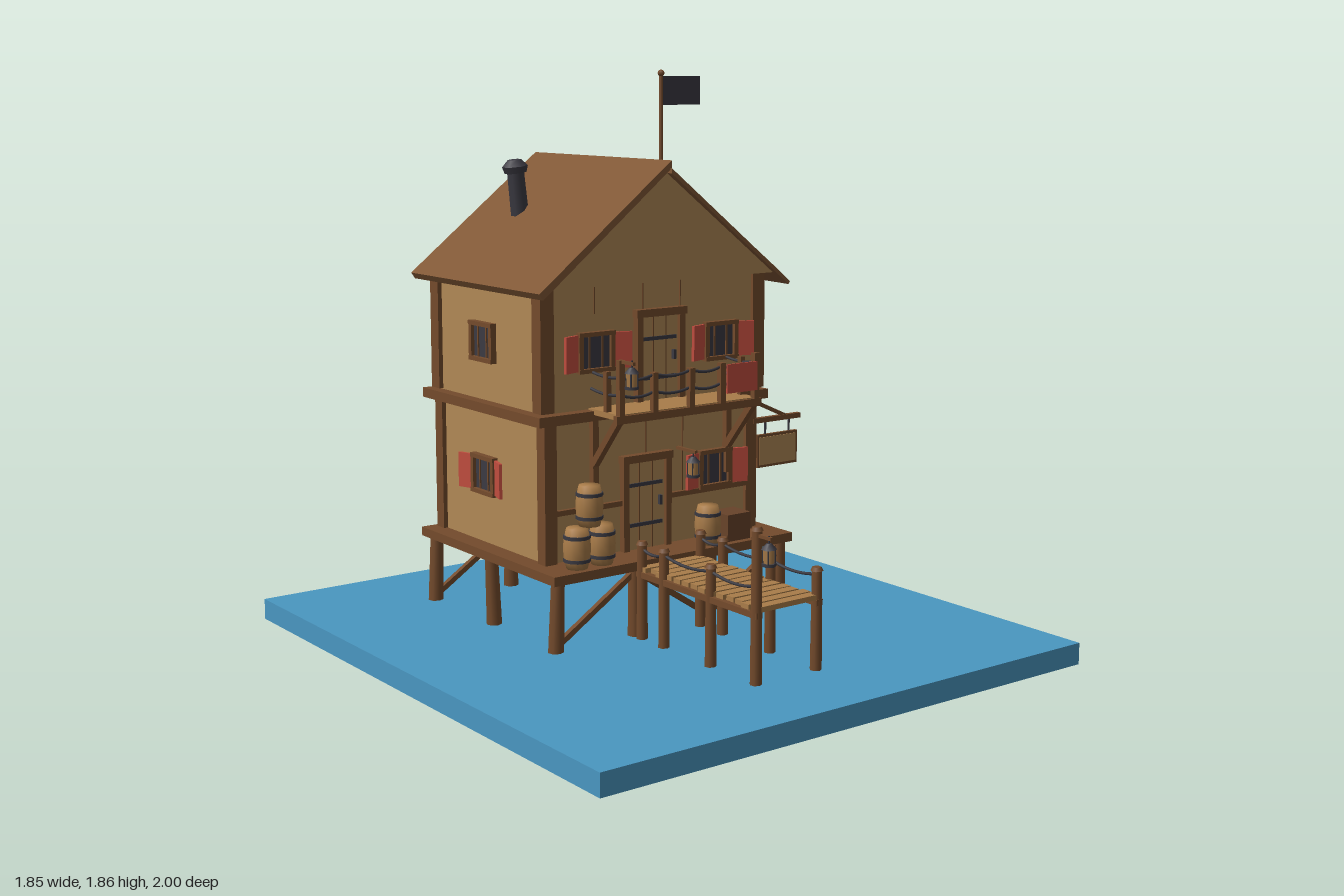
import * as THREE from 'three';

const mat = (name, color) => Object.assign(new THREE.MeshStandardMaterial({ color }), { name });
const water = mat('water', 0x4a97c1), wall = mat('wallPlaster', 0xb08855), timber = mat('timber', 0x744b2c),
  roofMat = mat('roofBoards', 0x805735), plank = mat('paleWood', 0xa97c49), iron = mat('iron', 0x3b3a42),
  red = mat('redPaint', 0xc24d3f), crateMat = mat('crateWood', 0x68432a);
const V = (x, y, z) => new THREE.Vector3(x, y, z);
const noise = (i) => { const s = Math.sin(i * 12.9898) * 43758.5453; return (s - Math.floor(s)) * 2 - 1; };

export function createModel() {
  const model = new THREE.Group();
  model.name = 'stiltHouse';

  const add = (parent, name, geo, m, x = 0, y = 0, z = 0) => {
    const mesh = new THREE.Mesh(geo, m);
    mesh.name = name;
    mesh.position.set(x, y, z);
    parent.add(mesh);
    return mesh;
  };
  // box given by its two opposite corners
  const box = (p, name, m, x0, x1, y0, y1, z0, z1) =>
    add(p, name, new THREE.BoxGeometry(x1 - x0, y1 - y0, z1 - z0), m, (x0 + x1) / 2, (y0 + y1) / 2, (z0 + z1) / 2);
  const cyl = (p, name, m, r0, r1, h, x, y, z, n = 8) =>
    add(p, name, new THREE.CylinderGeometry(r1, r0, h, n).toNonIndexed(), m, x, y + h / 2, z);
  // square bar between two points
  const bar = (p, name, m, a, b, w, d = w) => {
    const dir = b.clone().sub(a), mesh = add(p, name, new THREE.BoxGeometry(w, dir.length(), d), m);
    mesh.position.copy(a).add(b).multiplyScalar(0.5);
    mesh.quaternion.setFromUnitVectors(V(0, 1, 0), dir.normalize());
    return mesh;
  };
  const rope = (p, a, b, sag) => {
    const mid = a.clone().add(b).multiplyScalar(0.5);
    mid.y -= sag * 2;
    add(p, 'rope', new THREE.TubeGeometry(new THREE.QuadraticBezierCurve3(a, mid, b), 8, 0.005, 5), iron);
  };
  const group = (name, x = 0, y = 0, z = 0, ry = 0, parent = model) => {
    const g = new THREE.Group();
    g.name = name;
    g.position.set(x, y, z);
    g.rotation.y = ry;
    parent.add(g);
    return g;
  };

  box(model, 'water', water, -0.925, 0.925, 0, 0.07, -1, 1);

  // stilts, braces and deck
  const base = group('foundation');
  const xs = [-0.45, -0.15, 0.145, 0.45];
  xs.forEach((x, i) => [0.09, -0.285, -0.65].forEach((z, j) => {
    if (j === 1 && (i === 1 || i === 2)) return;
    const post = cyl(base, 'stilt', timber, 0.026, 0.022, 0.24, x, 0.06, z, 7);
    post.rotation.z = noise(i * 3 + j) * 0.04;
  }));
  [0.09, -0.65].forEach((z) => {
    for (let i = 0; i < 3; i++) {
      const lo = i === 1 ? 0.275 : 0.095;
      bar(base, 'brace', timber, V(xs[i] + 0.01, lo, z), V(xs[i + 1] - 0.01, 0.37 - lo, z), 0.018);
    }
  });
  box(base, 'deck', timber, -0.48, 0.48, 0.29, 0.32, -0.69, 0.125);

  // two storeys, the upper one slightly offset
  const house = group('house');
  box(house, 'lowerWalls', wall, -0.415, 0.41, 0.32, 0.78, -0.655, -0.015);
  box(house, 'upperWalls', wall, -0.415, 0.455, 0.79, 1.2, -0.68, -0.03);
  const corners = (name, x0, x1, y0, y1, z0, z1, w) => {
    for (const x of [x0, x1 - w]) for (const z of [z0, z1 - w])
      box(house, name, timber, x, x + w, y0, y1, z, z + w);
  };
  corners('lowerCornerPost', -0.43, 0.425, 0.32, 0.775, -0.672, 0, 0.045);
  corners('upperCornerPost', -0.43, 0.47, 0.8, 1.2, -0.692, -0.018, 0.05);
  box(house, 'floorBeam', timber, -0.455, 0.465, 0.765, 0.797, -0.71, 0.01);
  box(house, 'wallRail', timber, -0.41, -0.13, 0.473, 0.49, -0.02, 0);
  box(house, 'wallRail', timber, 0.06, 0.41, 0.473, 0.49, -0.02, 0);
  for (const x of [-0.22, -0.03, 0.12]) {
    box(house, 'lowerSeam', timber, x - 0.002, x + 0.002, x === -0.03 ? 0.63 : 0.49, 0.77, -0.016, -0.012);
    box(house, 'upperSeam', timber, x - 0.002, x + 0.002, 1.1, 1.2, -0.031, -0.027);
  }

  // roof
  const extrude = (pts, depth) => new THREE.ExtrudeGeometry(
    new THREE.Shape(pts.map(([x, y]) => new THREE.Vector2(x, y))), { depth, bevelEnabled: false });
  const roof = group('roof');
  add(roof, 'gable', extrude([[-0.45, 1.195], [0.49, 1.195], [0.02, 1.56]], 0.74), wall, 0, 0, -0.7);
  add(roof, 'leftRoofPanel', extrude([[-0.468, 1.168], [0.02, 1.553], [0.02, 1.578], [-0.482, 1.188]], 0.785),
    roofMat, 0, 0, -0.727);
  const rp = add(roof, 'rightRoofPanel', extrude([[0.51, 1.172], [0.516, 1.182], [0.015, 1.573], [0.015, 1.556]], 0.787),
    roofMat, 0, 0, -0.727);
  rp.rotation.x = 0.016;
  rp.position.y -= 0.006;
  rp.position.z -= 0.02;

  const chimney = group('chimney', -0.205, 1.36, -0.475);
  chimney.rotation.z = 0.11;
  cyl(chimney, 'chimneyPipe', iron, 0.03, 0.028, 0.18, 0, 0, 0, 6);
  cyl(chimney, 'chimneyCap', iron, 0.036, 0.043, 0.022, 0, 0.165, 0, 6);
  cyl(chimney, 'chimneyTop', iron, 0.043, 0.022, 0.022, 0, 0.187, 0, 6);

  const flag = group('flag', 0.025, 1.54, -0.005);
  cyl(flag, 'flagPole', timber, 0.007, 0.006, 0.31, 0, 0, 0, 6);
  add(flag, 'flagKnob', new THREE.SphereGeometry(0.011, 8, 6), timber, 0, 0.31, 0);
  const cloth = box(flag, 'flagCloth', iron, 0.008, 0.15, 0.21, 0.3, -0.003, 0.003);
  cloth.rotation.y = -0.08;

  // windows: local +z points out of the wall
  const windowAt = (x, y, z, ry, shutters) => {
    const g = group('window', x, y, z, ry);
    box(g, 'windowPane', iron, -0.06, 0.06, -0.055, 0.055, -0.01, 0.008);
    for (const s of [-1, 1]) {
      box(g, 'windowJamb', timber, s * 0.061 - 0.008, s * 0.061 + 0.008, -0.062, 0.062, -0.01, 0.02);
      box(g, 'windowRail', timber, -0.069, 0.069, s * 0.058 - 0.007, s * 0.058 + 0.007, -0.01, 0.022);
      box(g, 'windowBar', timber, s * 0.025 - 0.003, s * 0.025 + 0.003, -0.052, 0.052, 0, 0.012);
      if (!shutters) continue;
      const hinge = group('shutter', s * 0.068, 0, 0.008, -s * 0.3, g);
      box(hinge, 'shutterBoard', red, s * 0.032 - 0.031, s * 0.032 + 0.031, -0.058, 0.058, -0.005, 0.005);
    }
  };
  windowAt(0.248, 0.55, -0.015, 0, true);
  windowAt(-0.22, 0.98, -0.03, 0, true);
  windowAt(0.283, 0.975, -0.03, 0, true);
  windowAt(0.41, 0.552, -0.32, Math.PI / 2, true);
  windowAt(0.455, 0.97, -0.357, Math.PI / 2, false);
  windowAt(-0.415, 0.55, -0.37, -Math.PI / 2, true);
  windowAt(-0.415, 0.99, -0.37, -Math.PI / 2, false);
  windowAt(0, 0.55, -0.655, Math.PI, false);

  // doors
  const doorAt = (x, y, z, h) => {
    const g = group('door', x, y, z);
    box(g, 'doorPanel', wall, -0.08, 0.08, 0, h - 0.02, -0.005, 0.008);
    for (const s of [-1, 1]) {
      box(g, 'doorJamb', timber, s * 0.085 - 0.011, s * 0.085 + 0.011, 0, h, -0.01, 0.022);
      box(g, 'doorSeam', timber, s * 0.026 - 0.002, s * 0.026 + 0.002, 0, h - 0.02, 0.006, 0.01);
    }
    box(g, 'doorLintel', timber, -0.1, 0.1, h - 0.025, h, -0.01, 0.026);
    for (const k of [0.26, 0.68]) box(g, 'doorStrap', iron, -0.075, 0.065, h * k - 0.006, h * k + 0.006, 0.006, 0.013);
    box(g, 'doorHandle', iron, 0.05, 0.06, h * 0.44, h * 0.54, 0.006, 0.02);
  };
  doorAt(-0.037, 0.32, -0.013, 0.315);
  doorAt(0.03, 0.797, -0.028, 0.305);

  // lantern hung from its top point
  const lantern = (x, y, z) => {
    const g = group('lantern', x, y, z);
    cyl(g, 'lanternHook', iron, 0.003, 0.003, 0.03, 0, -0.03, 0, 5);
    cyl(g, 'lanternCap', iron, 0.024, 0.008, 0.018, 0, -0.04, 0, 6);
    cyl(g, 'lanternGlass', plank, 0.016, 0.018, 0.042, 0, -0.082, 0, 6);
    cyl(g, 'lanternBase', iron, 0.022, 0.022, 0.009, 0, -0.09, 0, 6);
    for (let i = 0; i < 4; i++) {
      const a = i * Math.PI / 2 + 0.78;
      cyl(g, 'lanternBar', iron, 0.003, 0.003, 0.045, Math.cos(a) * 0.018, -0.084, Math.sin(a) * 0.018, 4);
    }
  };

  // balcony
  const balcony = group('balcony');
  box(balcony, 'balconyFloor', plank, -0.25, 0.31, 0.785, 0.803, -0.02, 0.14);
  box(balcony, 'balconyEdge', timber, -0.26, 0.32, 0.775, 0.8, 0.13, 0.15);
  const bx = [-0.24, -0.11, 0.035, 0.16, 0.3], bh = [0.975, 0.925, 0.925, 0.93, 0.95];
  bx.forEach((x, i) => {
    box(balcony, 'balconyPost', timber, x - 0.01, x + 0.01, 0.78, bh[i], 0.13, 0.15);
    if (i) for (const y of [0.92, 0.865]) rope(balcony, V(bx[i - 1], y, 0.14), V(x, y, 0.14), 0.012);
  });
  for (const x of [-0.24, 0.3]) {
    box(balcony, 'balconyPost', timber, x - 0.009, x + 0.009, 0.8, 0.93, 0.06, 0.078);
    for (const y of [0.92, 0.865]) rope(balcony, V(x, y, 0.14), V(x, y, -0.02), 0.008);
    bar(balcony, 'balconyBrace', timber, V(x, 0.78, 0.13), V(x, 0.625, 0), 0.022);
    box(balcony, 'braceFoot', timber, x - 0.011, x + 0.011, 0.53, 0.77, -0.02, 0.006);
  }
  box(balcony, 'hangingCloth', red, 0.17, 0.295, 0.83, 0.925, 0.152, 0.158);
  bar(balcony, 'lanternArm', timber, V(-0.24, 0.97, 0.13), V(-0.235, 0.97, 0.205), 0.01);
  lantern(-0.235, 0.98, 0.193);
  bar(model, 'lanternArm', timber, V(0.1, 0.635, -0.02), V(0.1, 0.635, 0.085), 0.01);
  lantern(0.1, 0.64, 0.07);

  // jetty
  const jetty = group('jetty');
  for (let i = 0; i < 14; i++) {
    const p = box(jetty, 'jettyPlank', plank, -0.155 + noise(i) * 0.008, 0.078 + noise(i + 40) * 0.008,
      0.29, 0.306, 0.13 + i * 0.0422, 0.164 + i * 0.0422);
    p.rotation.y = noise(i + 9) * 0.03;
  }
  for (const x of [-0.155, 0.08]) {
    box(jetty, 'jettyBeam', timber, x - 0.012, x + 0.012, 0.272, 0.291, 0.12, 0.715);
    const pz = [0.135, 0.25, 0.485, 0.7];
    pz.forEach((z, i) => {
      const top = i === 3 && x < 0 ? 0.54 : 0.382;
      cyl(jetty, 'jettyPost', timber, 0.019, 0.016, top - 0.05, x, 0.05, z, 7);
      cyl(jetty, 'postCap', timber, 0.02, 0.014, 0.012, x, top - 0.005, z, 7);
      if (i) rope(jetty, V(x, 0.367, pz[i - 1]), V(x, 0.367, z), 0.014);
    });
  }
  bar(jetty, 'lanternArm', timber, V(-0.155, 0.522, 0.7), V(-0.155, 0.522, 0.768), 0.01);
  lantern(-0.155, 0.53, 0.755);

  // barrels and crate
  const profile = [[0, 0], [0.034, 0], [0.042, 0.035], [0.044, 0.065], [0.042, 0.095], [0.034, 0.13], [0, 0.13]]
    .map(([r, y]) => new THREE.Vector2(r, y));
  for (const [x, y] of [[-0.36, 0.32], [-0.265, 0.32], [-0.312, 0.45], [0.16, 0.32]]) {
    const g = group('barrel', x, y, 0.072);
    add(g, 'barrelBody', new THREE.LatheGeometry(profile, 12), plank);
    for (const h of [0.022, 0.096]) cyl(g, 'barrelHoop', iron, 0.0435, 0.0435, 0.011, 0, h, 0, 12);
  }
  box(model, 'crate', crateMat, 0.222, 0.318, 0.32, 0.41, 0.01, 0.1);

  // hanging sign
  const sign = group('sign', 0, 0, -0.008);
  box(sign, 'signArm', timber, 0.41, 0.62, 0.68, 0.697, -0.009, 0.009);
  bar(sign, 'signBrace', timber, V(0.42, 0.755, 0), V(0.56, 0.692, 0), 0.012);
  for (const x of [0.47, 0.575]) cyl(sign, 'signChain', iron, 0.004, 0.004, 0.055, x, 0.63, 0, 5);
  box(sign, 'signFrame', timber, 0.432, 0.608, 0.525, 0.638, -0.006, 0.006);
  box(sign, 'signFace', wall, 0.441, 0.599, 0.534, 0.629, -0.009, 0.009);

  return model;
}
